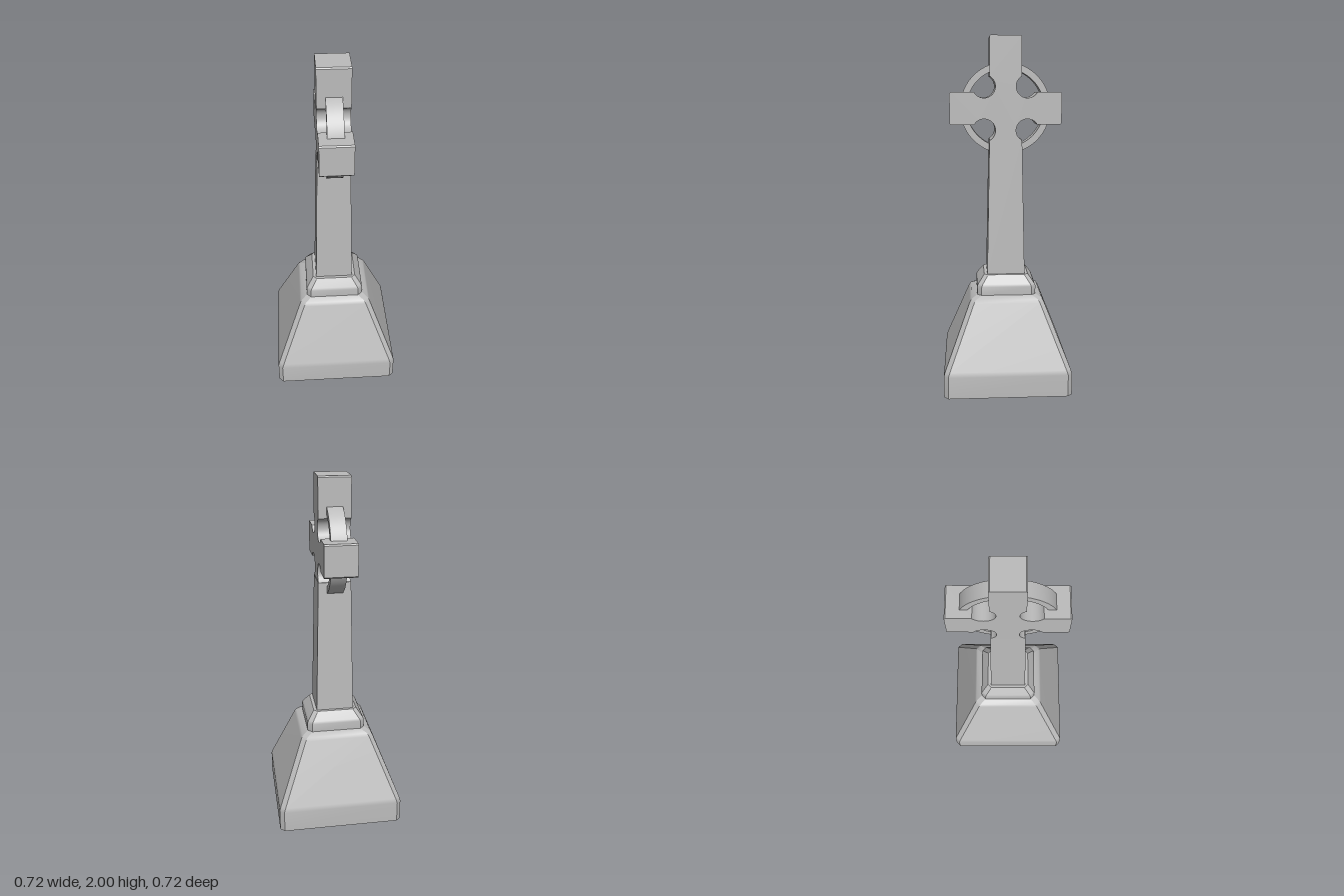
import * as THREE from 'three';
import { toCreasedNormals } from 'three/addons/utils/BufferGeometryUtils.js';

// Stacked square sections with cut corners: each level is [y, halfWidth, cornerCut].
// Every side is its own strip, so corners stay sharp and the profile is smooth.
function chamferedStack(levels) {
  const pos = [], idx = [];
  const loops = levels.map(([y, h, c]) => {
    const k = h - c;
    return [[h, -k], [h, k], [k, h], [-k, h], [-h, k], [-h, -k], [-k, -h], [k, -h]]
      .map(([x, z]) => [x, y, z]);
  });
  for (let s = 0; s < 8; s++) {
    const start = pos.length / 3;
    loops.forEach((l) => pos.push(...l[s], ...l[(s + 1) % 8]));
    for (let i = 0; i < loops.length - 1; i++) {
      const a = start + i * 2;
      idx.push(a, a + 2, a + 1, a + 1, a + 2, a + 3);
    }
  }
  // Flat caps
  [[loops[0], false], [loops[loops.length - 1], true]].forEach(([l, up]) => {
    const start = pos.length / 3;
    l.forEach((p) => pos.push(...p));
    for (let i = 1; i < 7; i++) {
      idx.push(start, start + (up ? i + 1 : i), start + (up ? i : i + 1));
    }
  });
  const g = new THREE.BufferGeometry();
  g.setAttribute('position', new THREE.Float32BufferAttribute(pos, 3));
  g.setIndex(idx);
  g.computeVertexNormals();
  return g;
}

// Extrude a side-on shape across the x axis, centred
function extrudeAcross(shape, thickness, curveSegments) {
  const g = new THREE.ExtrudeGeometry(shape, { depth: thickness, bevelEnabled: false, curveSegments });
  g.translate(0, 0, -thickness / 2);
  g.rotateY(Math.PI / 2);
  return toCreasedNormals(g, 0.5);
}

// One quarter of the cross outline, from the arm tip round the notch to the upright
function quarterOutline(withTop) {
  const arm = 0.315, half = 0.09, top = 0.4, r = 0.064, centre = 0.122, cut = 0.007;
  const pts = [[arm, half - cut], [arm - cut, half]];
  for (let i = 0; i <= 20; i++) {
    const a = THREE.MathUtils.degToRad(-30 - (210 * i) / 20);
    pts.push([centre + r * Math.cos(a), centre + r * Math.sin(a)]);
  }
  if (withTop) pts.push([half, top - cut], [half - cut, top]);
  return pts;
}

export function createModel() {
  const group = new THREE.Group();
  const stone = new THREE.MeshStandardMaterial({ color: 0xbbbbbb });
  stone.name = 'grey stone';

  const add = (name, geometry, y = 0) => {
    const mesh = new THREE.Mesh(geometry, stone);
    mesh.name = name;
    mesh.position.y = y;
    group.add(mesh);
  };

  // Sloping base block
  add('base', chamferedStack([
    [0, 0.361, 0.025], [0.125, 0.361, 0.025], [0.15, 0.353, 0.025],
    [0.505, 0.213, 0.025], [0.523, 0.202, 0.025], [0.54, 0.168, 0.025],
  ]));

  // Plinth with a sloped shoulder
  add('plinth', chamferedStack([
    [0.54, 0.168, 0.025], [0.588, 0.168, 0.025], [0.602, 0.161, 0.024], [0.65, 0.126, 0.022],
  ]));

  // Tapered square shaft
  const shaftBottom = 0.65, shaftTop = 1.424;
  const shaft = new THREE.CylinderGeometry(
    0.092 * Math.SQRT2, 0.108 * Math.SQRT2, shaftTop - shaftBottom, 4, 1);
  shaft.rotateY(Math.PI / 4);
  add('shaft', toCreasedNormals(shaft, 0.3), (shaftTop + shaftBottom) / 2);

  // Cross head with a round notch in each inner corner
  const upper = quarterOutline(true), lower = quarterOutline(false);
  const outline = [
    ...upper,
    ...upper.map(([u, v]) => [-u, v]).reverse(),
    ...lower.map(([u, v]) => [-u, -v]),
    ...lower.map(([u, v]) => [u, -v]).reverse(),
  ];
  const headShape = new THREE.Shape(outline.map(([u, v]) => new THREE.Vector2(u, v)));
  add('crossHead', extrudeAcross(headShape, 0.18, 12), 1.6);

  // Ring joining the arms
  const ringShape = new THREE.Shape().absarc(0, 0, 0.256, 0, Math.PI * 2, false);
  ringShape.holes.push(new THREE.Path().absarc(0, 0, 0.219, 0, Math.PI * 2, true));
  add('ring', extrudeAcross(ringShape, 0.088, 64), 1.6);

  return group;
}
